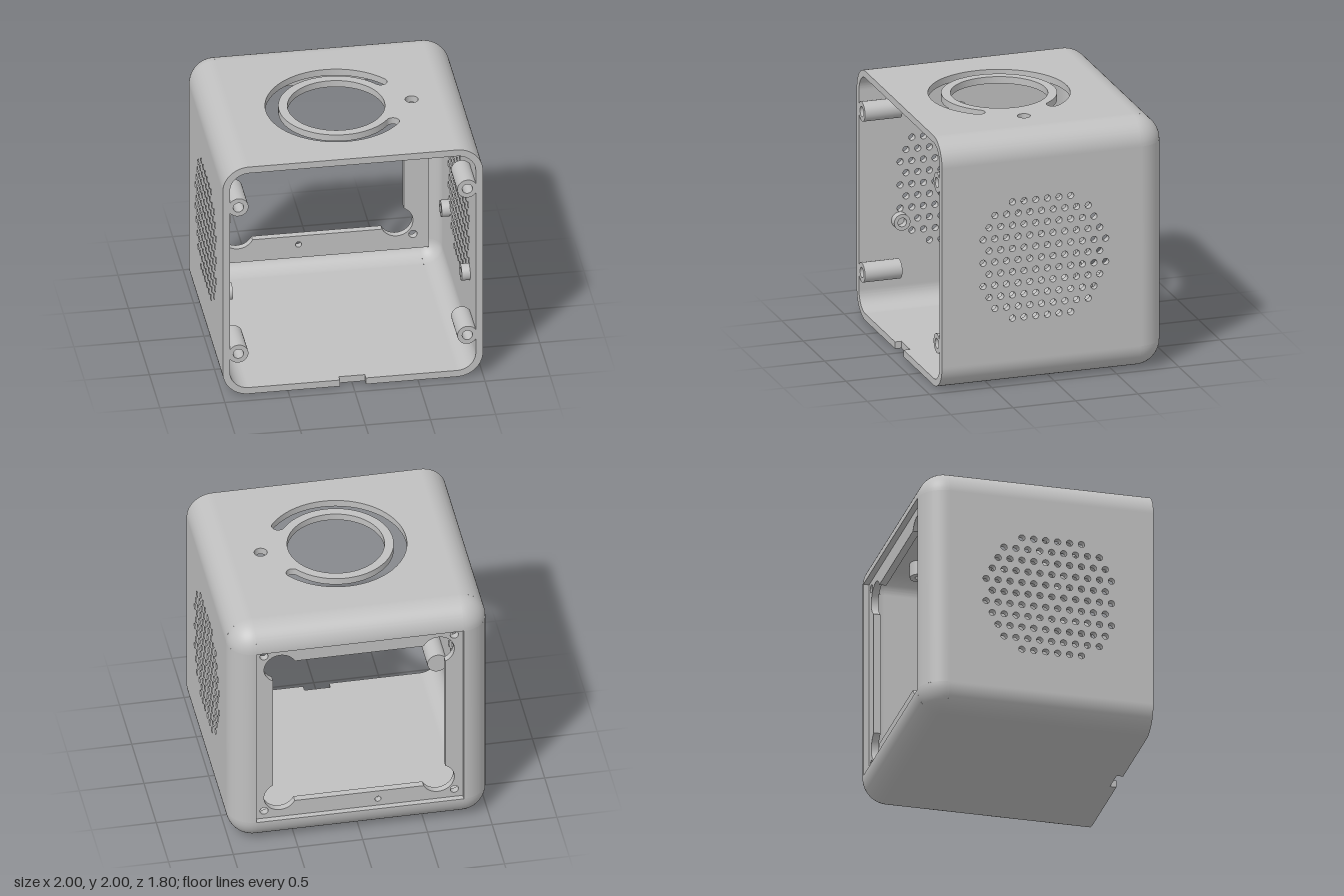
import * as THREE from 'three';
import { toCreasedNormals } from 'three/addons/utils/BufferGeometryUtils.js';

const R = 0.2, T = 0.055, r = R - T, Q = Math.PI / 2;

export function createModel() {
  const model = new THREE.Group();
  model.name = 'speakerEnclosure';
  const grey = new THREE.MeshStandardMaterial({ color: 0xc0c0c0 });
  grey.name = 'plain grey';

  const add = (name, geo, parent = model) => {
    const mesh = new THREE.Mesh(toCreasedNormals(geo, 0.6), grey);
    mesh.name = name;
    parent.add(mesh);
    return mesh;
  };
  const group = (name) => {
    const g = new THREE.Group();
    g.name = name;
    model.add(g);
    return g;
  };
  const extrude = (shape, depth, curveSegments = 16) =>
    new THREE.ExtrudeGeometry(shape, { depth, bevelEnabled: false, curveSegments });
  const polygon = (pts) => new THREE.Shape(pts.map(([x, y]) => new THREE.Vector2(x, y)));
  const rect = (x0, y0, x1, y1) => polygon([[x0, y0], [x1, y0], [x1, y1], [x0, y1]]);
  const round = (x, y, rad) => new THREE.Path().absarc(x, y, rad, 0, Math.PI * 2, false);
  // quarter of a tube wall, used for every rounded edge
  const sector = (x, y, a) => {
    const s = new THREE.Shape();
    s.absarc(x, y, R, a, a + Q, false);
    s.absarc(x, y, r, a + Q, a, true);
    s.closePath();
    return s;
  };

  // side walls with a round grille; drawn in (-z, y)
  const rows = [[0.335, 6], [0.475, 9], [0.522, 10], [0.57, 11], [0.522, 11], [0.57, 11],
    [0.522, 11], [0.57, 11], [0.522, 10], [0.475, 9], [0.335, 6]];
  const side = rect(-0.9, 0.2, 0.7, 1.8);
  rows.forEach(([z, n], i) => {
    for (let k = 0; k < n; k++) side.holes.push(round(-z + k * 0.0935, 1.47 - i * 0.0932, 0.025));
  });
  add('leftWall', extrude(side, T).rotateY(Q).translate(1 - T, 0, 0));
  add('rightWall', extrude(side, T).rotateY(Q).translate(-1, 0, 0));

  // top wall with round opening, C-shaped slot and small hole; drawn in (x, -z)
  const top = rect(-0.8, -0.9, 0.8, 0.7);
  const a = 0.655, cv = -0.1, ex = 0.49 * Math.cos(a), ey = 0.49 * Math.sin(a);
  const slot = new THREE.Path();
  slot.absarc(0, cv, 0.54, a, 2 * Math.PI - a, false);
  slot.absarc(ex, cv - ey, 0.05, -a, Math.PI - a, false);
  slot.absarc(0, cv, 0.44, 2 * Math.PI - a, a, true);
  slot.absarc(ex, cv + ey, 0.05, a + Math.PI, a + 2 * Math.PI, false);
  top.holes.push(round(0, cv, 0.37), slot, round(0.58, cv, 0.05));
  add('topWall', extrude(top, T, 48).rotateX(-Q).translate(0, 2 - T, 0));

  // bottom wall with a notch in the front rim
  const bottom = polygon([[-0.8, -0.9], [-0.1, -0.9], [-0.1, -0.85], [0.1, -0.85],
    [0.1, -0.9], [0.8, -0.9], [0.8, 0.7], [-0.8, 0.7]]);
  add('bottomWall', extrude(bottom, T).rotateX(-Q));

  // rounded edges running front to back
  const edges = group('roundedEdges');
  [[0.8, 1.8], [-0.8, 1.8], [-0.8, 0.2], [0.8, 0.2]].forEach(([x, y], k) =>
    add('longEdge', extrude(sector(x, y, k * Q), 1.6).translate(0, 0, -0.7), edges));
  // rounded edges around the back
  [0, 1].forEach((k) => {
    add('backUprightEdge',
      extrude(sector(k ? -0.8 : 0.8, 0.7, k * Q), 1.6).rotateX(-Q).translate(0, 0.2, 0), edges);
    add('backLevelEdge',
      extrude(sector(0.7, k ? 0.2 : 1.8, -k * Q), 1.6).rotateY(Q).translate(-0.8, 0, 0), edges);
  });
  // rounded back corners
  for (const up of [true, false]) {
    const pts = [], n = 16, start = up ? 0 : -Q;
    const arc = (rad, t) => pts.push(new THREE.Vector2(
      Math.max(0, rad * Math.cos(start + t * Q)), rad * Math.sin(start + t * Q)));
    for (let i = 0; i <= n; i++) arc(R, i / n);
    for (let i = n; i >= 0; i--) arc(r, i / n);
    for (const x of [0.8, -0.8]) {
      add('backCorner', new THREE.LatheGeometry(pts, 16, x > 0 ? Q : 2 * Q, Q)
        .translate(x, up ? 1.8 : 0.2, -0.7), edges);
    }
  }

  // recessed back panel with window, corner reliefs and screw holes
  const panel = rect(-0.855, 0.145, 0.855, 1.855);
  const windowPath = new THREE.Path();
  const b0 = Math.atan2(-0.112, 0.055), b1 = Math.atan2(0.055, -0.112);
  [[1, 1], [-1, 1], [-1, -1], [1, -1]].forEach(([sx, sy], k) => {
    windowPath.absarc(sx * 0.61, 1 + sy * 0.61, 0.125, b0 + k * Q, b1 + k * Q, false);
    panel.holes.push(round(sx * 0.735, 1.005 + sy * 0.735, 0.032));
  });
  windowPath.closePath();
  panel.holes.push(windowPath, round(-0.145, 0.26, 0.024));
  add('backPanel', extrude(panel, 0.055).translate(0, 0, -0.855));

  // blind-holed post, base at origin, pointing along +y
  const post = (rad, hole, len, floor) => new THREE.LatheGeometry(
    [[0, 0], [rad, 0], [rad, len], [hole, len], [hole, floor], [0, floor]]
      .map(([x, y]) => new THREE.Vector2(x, y)), 32);

  const posts = group('mountingPosts');
  for (const s of [1, -1]) {
    // front cover posts
    for (const y of [0.36, 1.65]) {
      add('coverPost', post(0.077, 0.04, 0.3, 0.1).rotateX(Q).translate(s * 0.88, y, 0.6), posts);
    }
    // three lugs around each grille
    for (const [y, z] of [[0.725, 0.575], [0.725, -0.385], [1.555, 0.095]]) {
      add('grilleLug', post(0.065, 0.035, 0.075, 0.015).rotateZ(s * Q)
        .translate(s * 0.955, y, z), posts);
    }
    // lugs under the top
    for (const z of [-0.5, 0.6]) {
      add('topLug', post(0.075, 0.035, 0.125, 0.015).rotateX(Math.PI)
        .translate(s * 0.645, 1.955, z), posts);
    }
  }
  return model;
}
